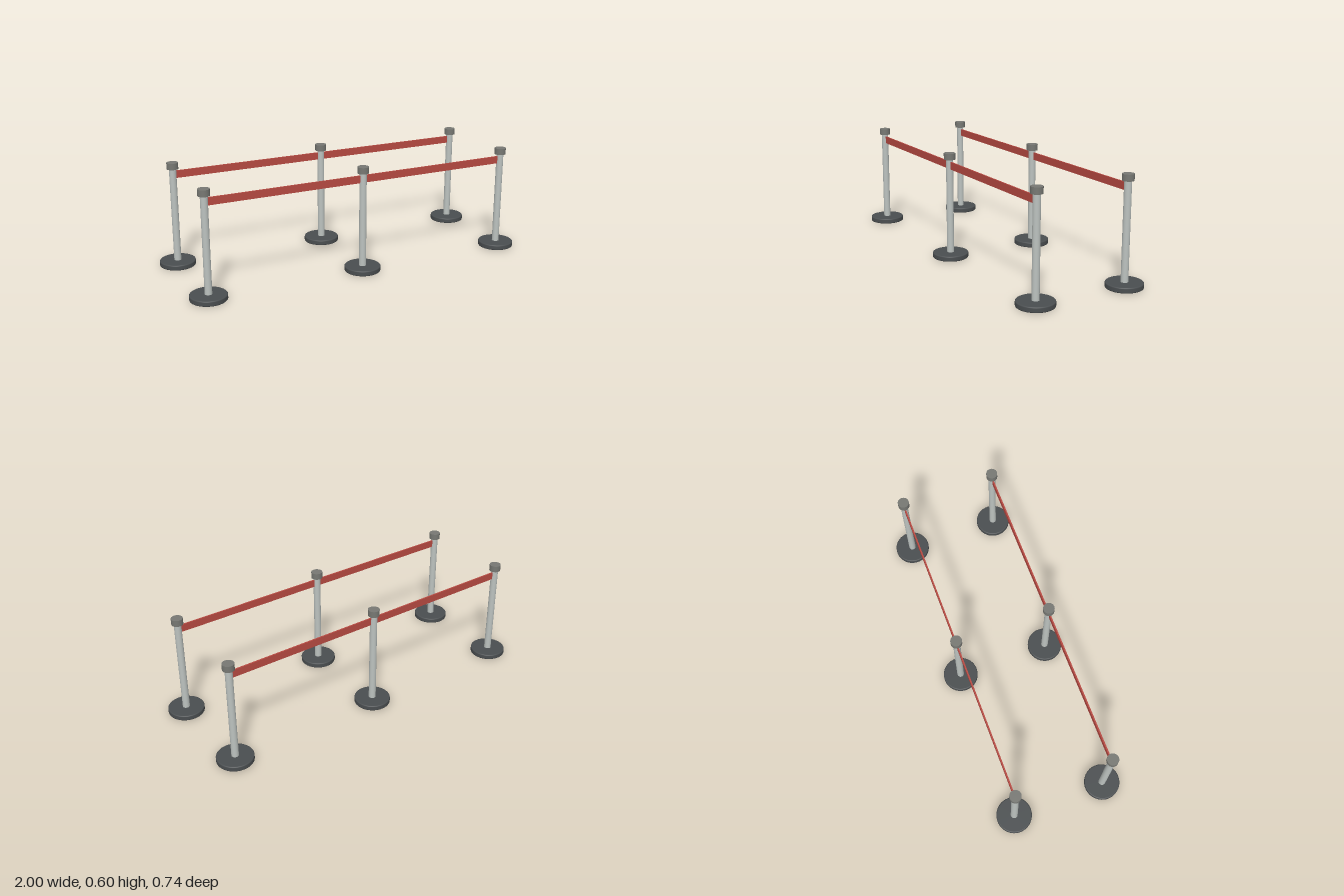
import * as THREE from 'three';

const material = (name, color) => {
  const m = new THREE.MeshStandardMaterial({ color });
  m.name = name;
  return m;
};

export function createModel() {
  const darkBase = material('dark base', 0x4a4e50);
  const steel = material('steel', 0xbcc2bf);
  const greyCap = material('grey cap', 0x777873);
  const redBelt = material('red belt', 0xb84a42);

  const postX = [-0.9, 0, 0.9];
  const rowZ = [0.27, -0.27];
  const poleRadius = 0.02;

  // Weighted disc with softly rounded rims
  const R = 0.101, H = 0.03, b = 0.006;
  const profile = new THREE.Path();
  profile.moveTo(R - b, 0);
  profile.absarc(R - b, b, b, -Math.PI / 2, 0, false);
  profile.absarc(R - b, H - b, b, 0, Math.PI / 2, false);
  const rimGeometry = new THREE.LatheGeometry(profile.getPoints(4), 48);
  const discGeometry = new THREE.CircleGeometry(R - b, 48);

  const poleGeometry = new THREE.CylinderGeometry(poleRadius, poleRadius, 0.54, 32);
  const capGeometry = new THREE.CylinderGeometry(0.032, 0.032, 0.036, 32);

  const add = (parent, name, geometry, mat, x = 0, y = 0, z = 0) => {
    const mesh = new THREE.Mesh(geometry, mat);
    mesh.name = name;
    mesh.position.set(x, y, z);
    parent.add(mesh);
    return mesh;
  };

  const makePost = () => {
    const post = new THREE.Group();
    post.name = 'post';
    add(post, 'baseRim', rimGeometry, darkBase);
    add(post, 'baseTop', discGeometry, darkBase, 0, H).rotation.x = -Math.PI / 2;
    add(post, 'baseUnderside', discGeometry, darkBase).rotation.x = Math.PI / 2;
    add(post, 'pole', poleGeometry, steel, 0, 0.3);
    add(post, 'cap', capGeometry, greyCap, 0, 0.582);
    return post;
  };

  const model = new THREE.Group();
  model.name = 'beltBarriers';
  for (const z of rowZ) {
    const row = new THREE.Group();
    row.name = z > 0 ? 'frontRow' : 'backRow';
    row.position.z = z;
    model.add(row);

    for (const x of postX) {
      const post = makePost();
      post.position.x = x;
      row.add(post);
    }

    // Flat belts stretched between neighbouring poles
    for (let i = 0; i < postX.length - 1; i++) {
      const length = postX[i + 1] - postX[i] - 2 * poleRadius + 0.004;
      const belt = new THREE.BoxGeometry(length, 0.042, 0.008);
      add(row, 'belt', belt, redBelt, (postX[i] + postX[i + 1]) / 2, 0.531);
    }
  }
  return model;
}
